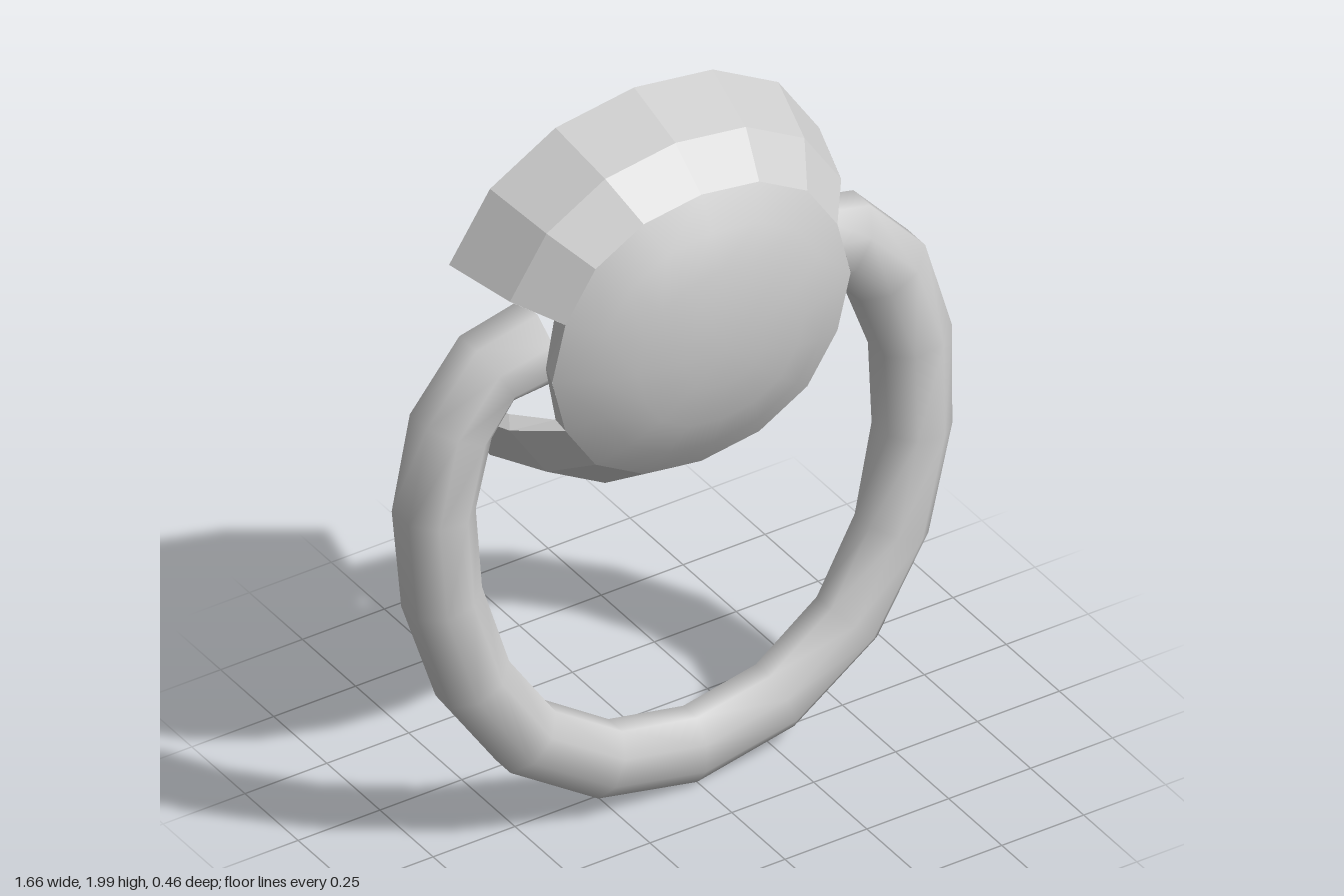
import * as THREE from 'three';

const material = new THREE.MeshStandardMaterial({ color: 0xcccccc, side: THREE.DoubleSide });
const CY = 1.435; // height of the dome centre

// One quadrant of the 16-sided rim, from the top round to the side
const QUADRANT = [[0, 0.565], [0.24, 0.53], [0.44, 0.415], [0.565, 0.225], [0.62, 0]];

function rimPoint(k, scale, z) {
  k = (k + 16) % 16;
  const half = k <= 8 ? k : 16 - k;
  const [x, y] = QUADRANT[half <= 4 ? half : 8 - half];
  return [x * scale * (k <= 8 ? 1 : -1), CY + y * scale * (half <= 4 ? 1 : -1), z];
}

function makeMesh(name, positions, index) {
  const geometry = new THREE.BufferGeometry();
  geometry.setAttribute('position', new THREE.Float32BufferAttribute(positions.flat(), 3));
  if (index) geometry.setIndex(index);
  geometry.computeVertexNormals();
  const mesh = new THREE.Mesh(geometry, material);
  mesh.name = name;
  return mesh;
}

// Unshared corners give flat facets
const quad = (a, b, c, d) => [a, b, c, a, c, d];

// Smooth front of the dome
function buildCap() {
  const rings = [[0.735, 0.107], [0.58, 0.16], [0.41, 0.2], [0.2, 0.219]];
  const positions = [], index = [];
  for (const [scale, z] of rings) {
    for (let k = 0; k < 16; k++) positions.push(rimPoint(k, scale, z));
  }
  const pole = positions.push([0, CY, 0.227]) - 1;
  for (let r = 0; r < rings.length; r++) {
    for (let k = 0; k < 16; k++) {
      const a = r * 16 + k, b = r * 16 + (k + 1) % 16;
      if (r === rings.length - 1) index.push(a, pole, b);
      else index.push(a, a + 16, b, b, a + 16, b + 16);
    }
  }
  return makeMesh('domeFront', positions, index);
}

// Faceted skirt behind the cap, left open at both sides for the ring
function buildSkirt() {
  const rings = [[1, -0.21], [0.895, -0.015], [0.735, 0.107]];
  const positions = [];
  for (let k = 0; k < 16; k++) {
    if (k % 8 === 3 || k % 8 === 4) continue;
    for (let r = 0; r < 2; r++) {
      const [s0, z0] = rings[r], [s1, z1] = rings[r + 1];
      positions.push(...quad(rimPoint(k, s0, z0), rimPoint(k, s1, z1),
        rimPoint(k + 1, s1, z1), rimPoint(k + 1, s0, z0)));
    }
  }
  return makeMesh('domeSkirt', positions);
}

// Folded edges and inner flanges around each side opening
function buildOpeningEdges(sx) {
  const positions = [];
  for (const sy of [1, -1]) {
    const p = (x, y, z) => [sx * x, CY + sy * y, z];
    const outer = [p(0.565, 0.225, -0.21), p(0.506, 0.201, -0.015), p(0.415, 0.165, 0.107)];
    const inner = [p(0.53, 0.195, -0.23), p(0.48, 0.185, -0.06), p(0.405, 0.17, 0.045)];
    const flange = [p(0.39, 0.365, -0.23), p(0.36, 0.34, -0.06), p(0.32, 0.295, 0.04)];
    for (let i = 0; i < 2; i++) {
      positions.push(...quad(outer[i], outer[i + 1], inner[i + 1], inner[i]));
      positions.push(...quad(inner[i], inner[i + 1], flange[i + 1], flange[i]));
    }
    positions.push(...quad(outer[2], p(0.456, 0, 0.107), p(0.435, 0, 0.045), inner[2]));
  }
  return makeMesh(sx > 0 ? 'leftOpeningEdge' : 'rightOpeningEdge', positions);
}

// Open ring: eight-sided sections swept along a leaning path
function buildRing() {
  // x, y, radius in the ring's plane, radius across it
  const half = [[0, 0.105, 0.108, 0.085], [0.262, 0.155, 0.106, 0.087], [0.49, 0.305, 0.106, 0.09],
    [0.64, 0.53, 0.106, 0.095], [0.718, 0.8, 0.108, 0.1], [0.727, 1.06, 0.112, 0.103],
    [0.662, 1.285, 0.12, 0.106], [0.545, 1.415, 0.122, 0.107], [0.395, 1.44, 0.125, 0.107]];
  const path = [...half.slice(1).reverse().map(([x, ...rest]) => [-x, ...rest]), ...half];
  const sides = 8, positions = [], index = [];
  path.forEach(([x, y, radius, depth], i) => {
    const a = path[Math.max(i - 1, 0)], b = path[Math.min(i + 1, path.length - 1)];
    const tangent = new THREE.Vector2(b[0] - a[0], b[1] - a[1]).normalize();
    const z = 0.063 - 0.09 * y;
    for (let s = 0; s < sides; s++) {
      const t = (s + 0.5) / sides * Math.PI * 2;
      const n = Math.cos(t) * radius;
      positions.push([x + tangent.y * n, y - tangent.x * n, z + Math.sin(t) * depth]);
      if (i === path.length - 1) continue;
      const p = i * sides + s, q = i * sides + (s + 1) % sides;
      index.push(p, q, p + sides, q, q + sides, p + sides);
    }
  });
  return makeMesh('ring', positions, index);
}

export function createModel() {
  const model = new THREE.Group();
  model.name = 'ringPull';
  const dome = new THREE.Group();
  dome.name = 'dome';
  dome.add(buildCap(), buildSkirt(), buildOpeningEdges(1), buildOpeningEdges(-1));
  model.add(dome, buildRing());
  return model;
}
